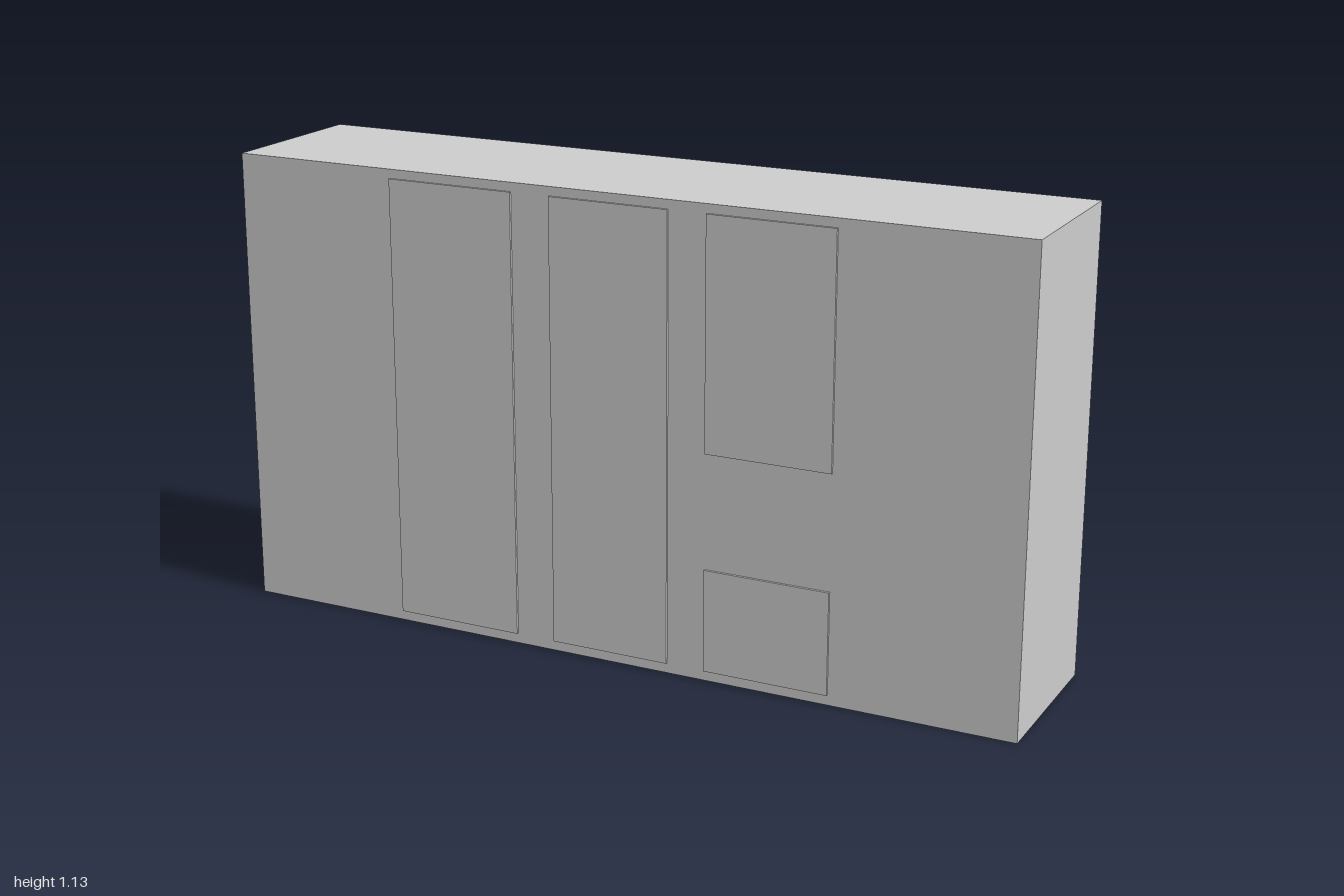
import * as THREE from 'three';

const H = 1.13, BACK = -0.213, FRONT = 0.207;
const INNER_BACK = BACK + 0.03; // inner modules sit behind the rear rim
const INNER_FRONT = FRONT - 0.008;
const T = 0.02;

export function createModel() {
  const group = new THREE.Group();
  const mat = new THREE.MeshStandardMaterial({ color: 0xcccccc });

  // Box given by its limits on each axis
  function box(name, x0, x1, y0, y1, z0, z1) {
    const mesh = new THREE.Mesh(new THREE.BoxGeometry(x1 - x0, y1 - y0, z1 - z0), mat);
    mesh.position.set((x0 + x1) / 2, (y0 + y1) / 2, (z0 + z1) / 2);
    mesh.name = name;
    group.add(mesh);
  }

  // Outer shell, open at the back
  box('bottomPanel', -1, 1, 0, T, BACK, FRONT);
  box('topPanel', -1, 1, H - T, H, BACK, FRONT);
  box('frontPanel', -1, 1, T, H - T, INNER_FRONT, FRONT);
  for (const s of [-1, 1]) {
    box('sidePanel', s * 0.99 - 0.01, s * 0.99 + 0.01, T, H - T, BACK, FRONT);
  }
  for (const x of [-0.6, -0.2, 0.2, 0.6]) {
    box('divider', x - 0.022, x + 0.022, T, H - T, BACK, INNER_FRONT);
  }

  // Inner wall made of stacked boards with narrow seams
  function wall(x0, seams) {
    const ys = [T, ...seams, H - T];
    for (let i = 0; i < ys.length - 1; i++) {
      const lo = ys[i] + (i > 0 ? 0.002 : 0);
      const hi = ys[i + 1] - (i < ys.length - 2 ? 0.002 : 0);
      box('innerWall', x0, x0 + T, lo, hi, INNER_BACK, INNER_FRONT);
    }
  }

  // Inner module of each bay: x limits, seams in the -x and +x walls
  const bays = [
    { x0: -0.98, x1: -0.622, low: [], high: [], shelves: true },
    { x0: -0.578, x1: -0.222, low: [0.27, 0.83], high: [0.28] },
    { x0: -0.178, x1: 0.178, low: [0.56], high: [0.28] },
    { x0: 0.222, x1: 0.578, low: [0.27], high: [0.56] },
    { x0: 0.622, x1: 0.98, low: [], high: [], shelves: true },
  ];
  for (const { x0, x1, low, high, shelves } of bays) {
    wall(x0, low);
    wall(x1 - T, high);
    const a = x0 + T, b = x1 - T;
    box('innerFloor', a, b, T, 0.04, INNER_BACK, INNER_FRONT);
    box('innerCeiling', a, b, H - 0.04, H - T, INNER_BACK, INNER_FRONT);
    if (shelves) {
      for (const y of [0.295, 0.565, 0.84]) {
        box('shelf', a, b, y - 0.016, y + 0.016, INNER_BACK, INNER_FRONT);
      }
    } else {
      // Hanging rod across the bay
      const rod = new THREE.Mesh(new THREE.CylinderGeometry(0.016, 0.016, b - a, 24), mat);
      rod.rotation.z = Math.PI / 2;
      rod.position.set((a + b) / 2, 0.98, -0.02);
      rod.name = 'hangingRod';
      group.add(rod);
    }
  }

  // Thin raised door faces
  const doors = [
    [-0.58, -0.255, 0.025, 1.108],
    [-0.155, 0.145, 0.025, 1.108],
    [0.24, 0.55, 0.025, 0.275],
    [0.24, 0.55, 0.555, 1.108],
  ];
  for (const [x0, x1, y0, y1] of doors) {
    box('doorFace', x0, x1, y0, y1, FRONT - 0.004, 0.213);
  }
  return group;
}
